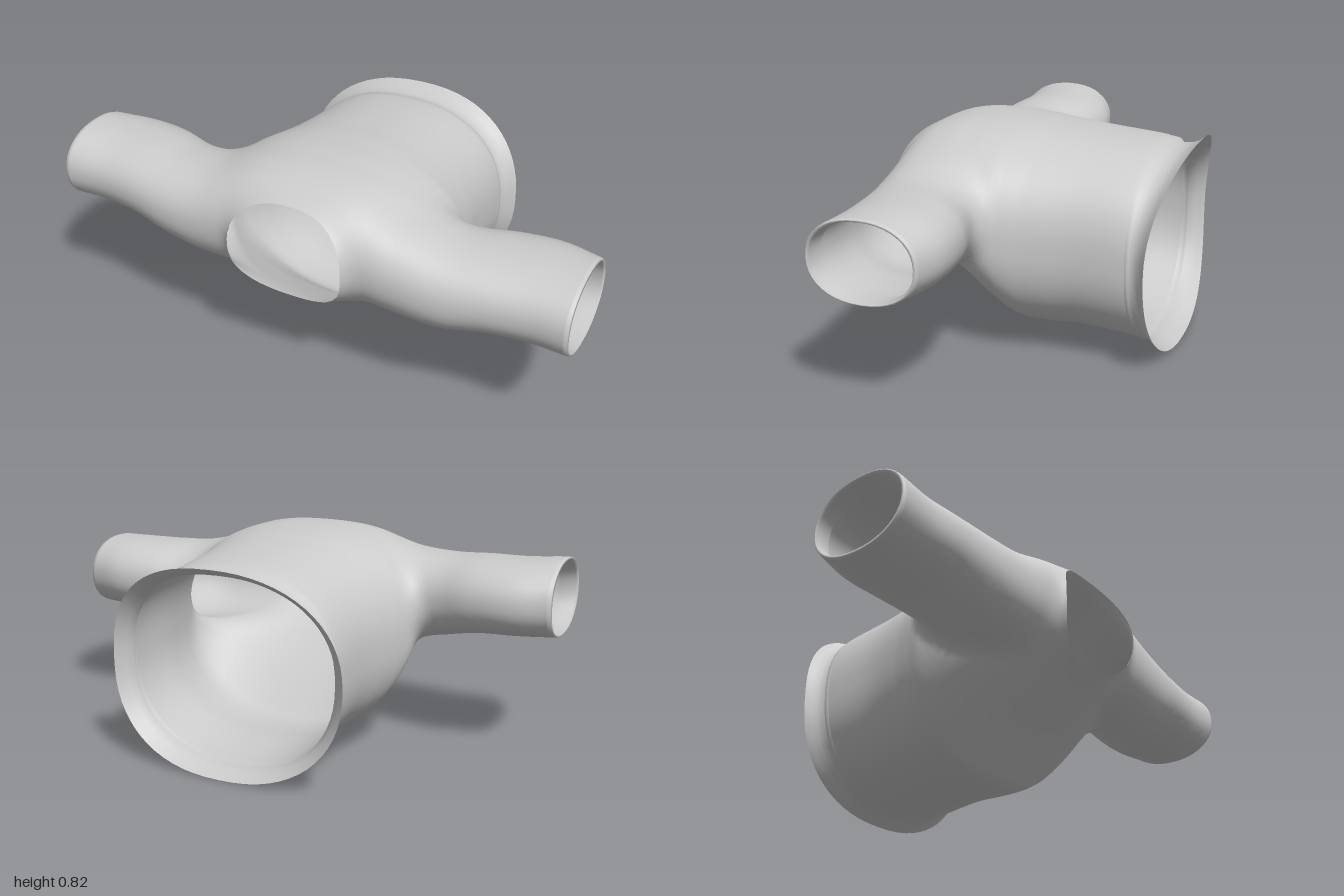
import * as THREE from 'three';

// Torso sections along z: [z, bottom y, top y, half width]
const TORSO = [
  [-0.5, 0.03, 0.75, 0.415], [-0.4, 0.04, 0.77, 0.42], [-0.2, 0.06, 0.79, 0.425], [-0.05, 0.06, 0.805, 0.45],
  [0.03, 0.075, 0.815, 0.47], [0.1, 0.13, 0.82, 0.485], [0.2, 0.21, 0.825, 0.47], [0.3, 0.275, 0.82, 0.42],
  [0.4, 0.335, 0.795, 0.34], [0.48, 0.375, 0.765, 0.265], [0.56, 0.4, 0.735, 0.22], [0.7, 0.41, 0.72, 0.21],
];
// Sleeve sections along x: [x, bottom y, top y, back z, front z]
const SLEEVES = [
  [-1.1, 0.47, 0.76, 0.1, 0.485], [-1, 0.47, 0.76, 0.085, 0.485], [-0.85, 0.465, 0.75, 0.05, 0.48],
  [-0.7, 0.455, 0.745, 0.06, 0.495], [-0.55, 0.42, 0.735, 0.1, 0.515], [-0.4, 0.395, 0.745, 0.11, 0.525],
  [-0.2, 0.4, 0.79, 0.16, 0.53], [0, 0.4, 0.79, 0.2, 0.51], [0.2, 0.4, 0.785, 0.16, 0.53],
  [0.4, 0.375, 0.725, 0.11, 0.525], [0.55, 0.365, 0.69, 0.1, 0.515], [0.7, 0.385, 0.685, 0.06, 0.495],
  [0.85, 0.39, 0.685, 0.05, 0.48], [1, 0.39, 0.68, 0.085, 0.485], [1.1, 0.39, 0.68, 0.1, 0.485],
];

// Smoothly interpolated row of a section table
function section(table, t) {
  let i = 0;
  while (i < table.length - 2 && t > table[i + 1][0]) i++;
  const a = table[i], b = table[i + 1];
  const k = THREE.MathUtils.clamp((t - a[0]) / (b[0] - a[0]), 0, 1);
  const p = table[Math.max(i - 1, 0)], q = table[Math.min(i + 2, table.length - 1)];
  const h = b[0] - a[0];
  return a.map((v, c) => {
    const ma = (b[c] - p[c]) / (b[0] - p[0]) * h, mb = (q[c] - v) / (q[0] - a[0]) * h;
    const k2 = k * k, k3 = k2 * k;
    return (2 * k3 - 3 * k2 + 1) * v + (k3 - 2 * k2 + k) * ma + (3 * k2 - 2 * k3) * b[c] + (k3 - k2) * mb;
  });
}

const oval = (u, v, ru, rv, n) =>
  ((Math.abs(u / ru) ** n + Math.abs(v / rv) ** n) ** (1 / n) - 1) * Math.min(ru, rv);

// Garment field: torso and sleeves softly merged, negative inside
function field(x, y, z) {
  const [, b, t, w] = section(TORSO, z);
  const torso = oval(x, y - (b + t) / 2, w, (t - b) / 2, 2.35);
  const [, sb, st, z0, z1] = section(SLEEVES, x);
  const sleeve = oval(z - (z0 + z1) / 2, y - (sb + st) / 2, (z1 - z0) / 2, (st - sb) / 2, 2.2);
  const h = Math.max(0.05 - Math.abs(torso - sleeve), 0) / 0.05;
  return Math.min(torso, sleeve) - h * h * 0.0125;
}

// Openings: positive where the cloth is cut away
function cut([x, y, z]) {
  const cuffs = Math.abs(x) - 0.985;
  const waist = -0.415 - z;
  const v = (y - 0.575) / 0.18;
  const collar = z - (0.56 - 0.055 * v * v);
  const neckWidth = 0.2 + 0.03 * THREE.MathUtils.clamp(v, -1, 1);
  const neck = Math.min(z - 0.4, oval(x, y - 0.567, neckWidth, 0.177, 2.1) * -1);
  return Math.max(cuffs, waist, collar, neck);
}

const mix = (a, b, k) => a.map((v, i) => v + (b[i] - v) * k);

// Keeps the part of a polygon outside the openings
function trim(poly) {
  const out = [];
  poly.forEach((a, i) => {
    const b = poly[(i + 1) % poly.length], ca = cut(a), cb = cut(b);
    if (ca <= 0) out.push(a);
    if ((ca <= 0) !== (cb <= 0)) out.push(mix(a, b, ca / (ca - cb)));
  });
  return out;
}

// Skin of the field, found cell by cell with six tetrahedra per cell
function garmentGeometry() {
  const s = 0.029, nx = 72, ny = 32, nz = 38, o = [-nx * s / 2, -0.02, -0.46];
  const at = (i, j, k) => [o[0] + i * s, o[1] + j * s, o[2] + k * s];
  const id = (i, j, k) => (i * (ny + 1) + j) * (nz + 1) + k;
  const val = new Float32Array((nx + 1) * (ny + 1) * (nz + 1));
  for (let i = 0; i <= nx; i++) for (let j = 0; j <= ny; j++) for (let k = 0; k <= nz; k++)
    val[id(i, j, k)] = field(...at(i, j, k));

  const grad = ([x, y, z], e = 0.006) => new THREE.Vector3(
    field(x + e, y, z) - field(x - e, y, z),
    field(x, y + e, z) - field(x, y - e, z),
    field(x, y, z + e) - field(x, y, z - e)).normalize();
  const pos = [], nor = [];
  const A = new THREE.Vector3(), B = new THREE.Vector3(), C = new THREE.Vector3();
  const emit = (poly) => {
    const p = trim(poly);
    if (p.length < 3) return;
    const n = p.map((q) => grad(q));
    for (let i = 1; i < p.length - 1; i++) {
      A.fromArray(p[0]); B.fromArray(p[i]).sub(A); C.fromArray(p[i + 1]).sub(A);
      const order = B.cross(C).dot(n[0]) > 0 ? [0, i, i + 1] : [0, i + 1, i];
      order.forEach((m) => { pos.push(...p[m]); nor.push(n[m].x, n[m].y, n[m].z); });
    }
  };
  const paths = [[1, 3], [1, 5], [2, 3], [2, 6], [4, 5], [4, 6]];
  for (let i = 0; i < nx; i++) for (let j = 0; j < ny; j++) for (let k = 0; k < nz; k++) {
    const c = [0, 1, 2, 3, 4, 5, 6, 7].map((b) => [i + (b & 1), j + ((b >> 1) & 1), k + (b >> 2)]);
    const v = c.map((q) => val[id(...q)]);
    if (v.every((f) => f > 0) || v.every((f) => f <= 0)) continue;
    const p = c.map((q) => at(...q));
    for (const [m, n] of paths) {
      const tet = [0, m, n, 7], inn = tet.filter((q) => v[q] <= 0), out = tet.filter((q) => v[q] > 0);
      const edge = (a, b) => mix(p[a], p[b], v[a] / (v[a] - v[b]));
      if (inn.length === 1) emit(out.map((q) => edge(inn[0], q)));
      else if (inn.length === 3) emit(inn.map((q) => edge(q, out[0])));
      else if (inn.length === 2) emit([edge(inn[0], out[0]), edge(inn[0], out[1]),
        edge(inn[1], out[1]), edge(inn[1], out[0])]);
    }
  }
  const g = new THREE.BufferGeometry();
  g.setAttribute('position', new THREE.Float32BufferAttribute(pos, 3));
  g.setAttribute('normal', new THREE.Float32BufferAttribute(nor, 3));
  return g;
}

// Closed band through rings; point(ring, cos, sin) gives each vertex
function band(rings, n, point, sides = 64) {
  const pos = [], idx = [];
  const round = (c) => Math.sign(c) * Math.abs(c) ** (2 / n);
  rings.forEach((r, i) => {
    for (let k = 0; k < sides; k++) {
      const a = k / sides * Math.PI * 2;
      pos.push(...point(r, round(Math.cos(a)), round(Math.sin(a))));
      if (!i) continue;
      const p = (i - 1) * sides + k, q = (i - 1) * sides + (k + 1) % sides;
      idx.push(p, p + sides, q, q, p + sides, q + sides);
    }
  });
  const g = new THREE.BufferGeometry();
  g.setAttribute('position', new THREE.Float32BufferAttribute(pos, 3));
  g.setIndex(idx);
  g.computeVertexNormals();
  return g;
}

export function createModel() {
  const group = new THREE.Group();
  const cloth = new THREE.MeshStandardMaterial({ color: 0xcccccc, side: THREE.DoubleSide });
  const add = (name, geometry) => {
    const mesh = new THREE.Mesh(geometry, cloth);
    mesh.name = name;
    group.add(mesh);
  };

  add('bodyAndSleeves', garmentGeometry());

  // Gathered waist flaring to a bowed hem: [z, bottom y, top y, half width, bow]
  const hem = [[-0.41, 0.038, 0.769, 0.42, 0], [-0.425, 0.03, 0.762, 0.425, 0.3], [-0.435, 0.035, 0.745, 0.413, 0.4],
    [-0.46, 0.025, 0.745, 0.43, 0.6], [-0.475, 0.012, 0.755, 0.448, 0.8], [-0.49, 0, 0.777, 0.467, 1]];
  add('hem', band(hem, 2.3, ([z, b, t, w, bow], c, s) =>
    [w * c, (b + t) / 2 + (t - b) / 2 * s, z - bow * s * s * (s > 0 ? 0.078 : 0.035)]));

  // Cuff edges folded back inside each sleeve: [distance from centre, scale]
  for (const side of [-1, 1]) {
    const fold = [[0.984, 1], [0.997, 0.985], [1, 0.95], [0.99, 0.92], [0.93, 0.91]];
    add(side > 0 ? 'leftCuff' : 'rightCuff', band(fold, 2.2, ([x, k], c, s) => {
      const [, b, t, z0, z1] = section(SLEEVES, side * x);
      return [side * x, (b + t) / 2 + (t - b) / 2 * k * s, (z0 + z1) / 2 + side * (z1 - z0) / 2 * k * -c];
    }, 40));
  }
  return group;
}
